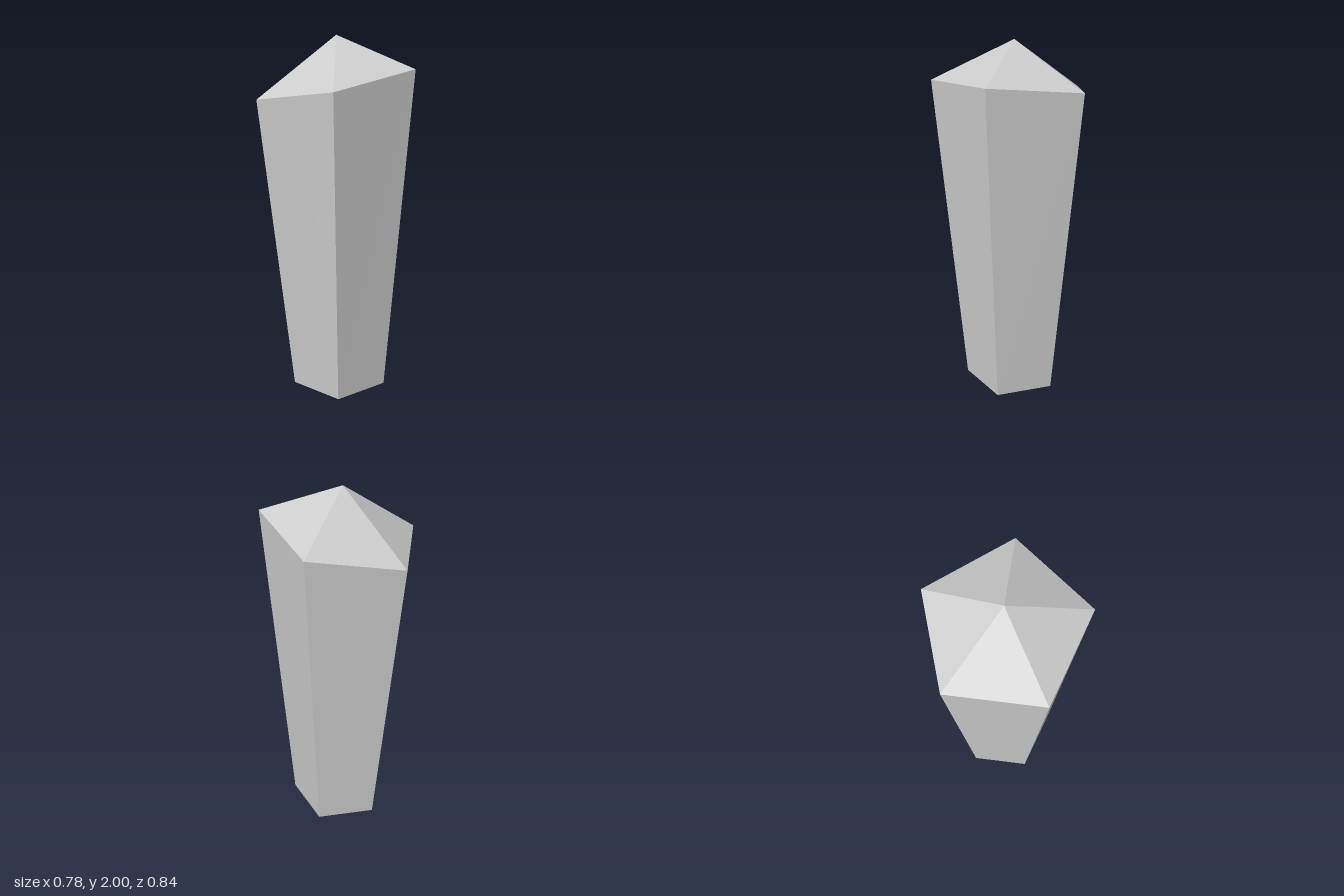
import * as THREE from 'three';

const SIDES = 5;
const BASE_RADIUS = 0.273, RIM_RADIUS = 0.4395;
const BASE_X = -0.028, RIM_X = -0.043;
const RIM_Y = 1.756, TIP_Y = 2;
const TILT = Math.atan(0.205); // the rim rises toward +x

const material = new THREE.MeshStandardMaterial({ color: 0xcccccc, flatShading: true });

// Moves each vertex of a geometry by a rule
function reshape(geometry, rule) {
  const pos = geometry.attributes.position;
  const v = new THREE.Vector3();
  for (let i = 0; i < pos.count; i++) {
    rule(v.fromBufferAttribute(pos, i));
    pos.setXYZ(i, v.x, v.y, v.z);
  }
  geometry.computeVertexNormals();
  return geometry;
}

// Swings a rim point onto the tilted rim plane
function toRim(v) {
  v.y = RIM_Y + v.x * Math.sin(TILT);
  v.x = RIM_X + v.x * Math.cos(TILT);
}

function addPart(group, name, geometry) {
  const mesh = new THREE.Mesh(geometry, material);
  mesh.name = name;
  group.add(mesh);
}

export function createModel() {
  const group = new THREE.Group();
  group.name = 'crystal';

  // Five-sided shaft, widening upward to the slanted rim
  const shaft = new THREE.CylinderGeometry(RIM_RADIUS, BASE_RADIUS, 1, SIDES, 1, true, Math.PI / 2);
  addPart(group, 'shaft', reshape(shaft, (v) => {
    if (v.y > 0) toRim(v);
    else v.set(v.x + BASE_X, 0, v.z);
  }));

  // Pointed cap on the slanted rim
  const tip = new THREE.ConeGeometry(RIM_RADIUS, 1, SIDES, 1, true, Math.PI / 2);
  addPart(group, 'tip', reshape(tip, (v) => {
    if (v.y > 0) v.set(RIM_X, TIP_Y, 0);
    else toRim(v);
  }));

  // Flat underside
  const base = new THREE.CircleGeometry(BASE_RADIUS, SIDES);
  base.rotateX(Math.PI / 2).translate(BASE_X, 0, 0);
  addPart(group, 'base', base);

  return group;
}
